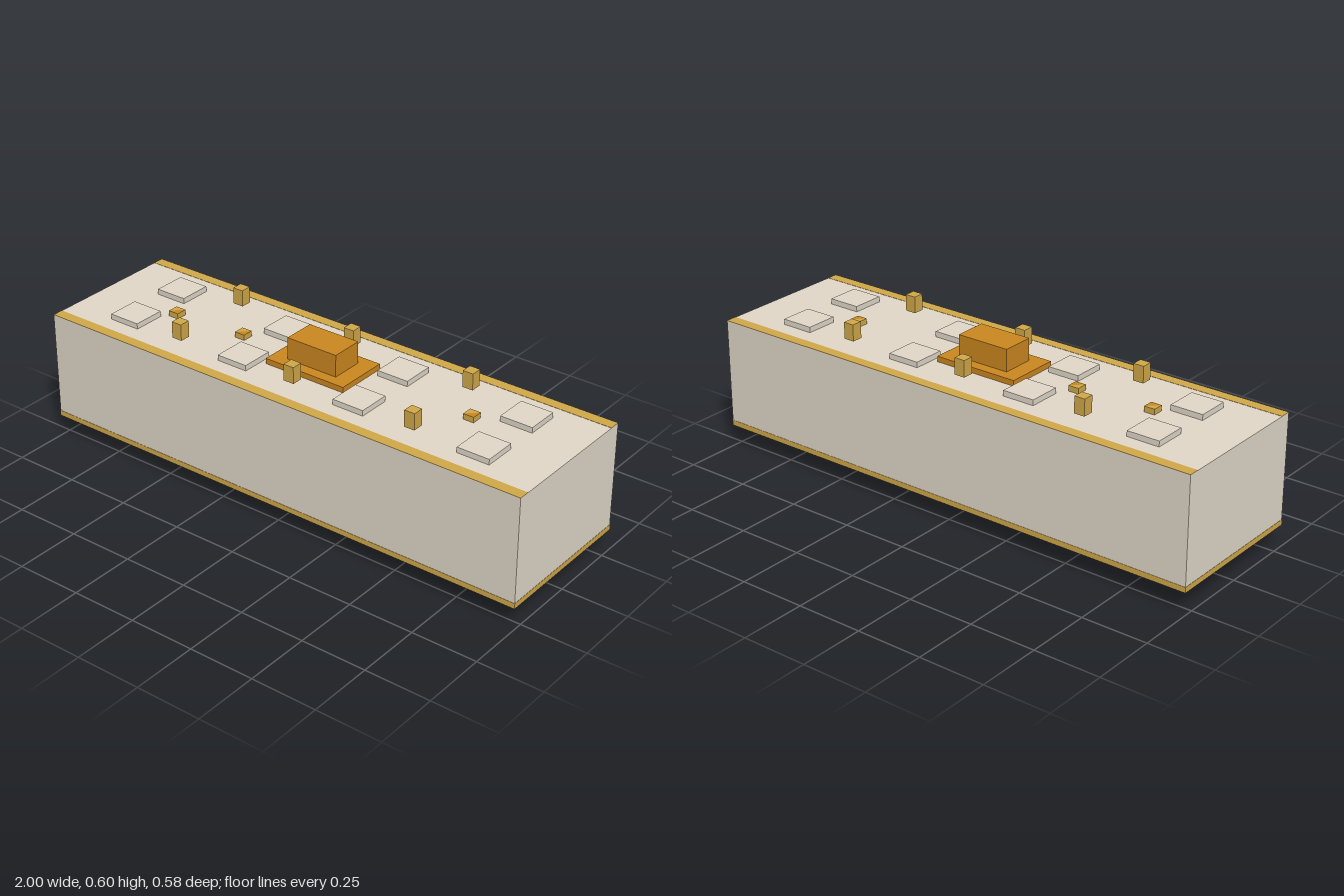
import * as THREE from 'three';

const mat = (name, color) => {
  const m = new THREE.MeshStandardMaterial({ color });
  m.name = name;
  return m;
};

export function createModel() {
  const model = new THREE.Group();
  model.name = 'drapedTable';
  const cloth = mat('cloth', 0xe3dacb);
  const gold = mat('gold', 0xd3aa4a);
  const amber = mat('amber', 0xcd8820);
  const wood = mat('darkWood', 0x5c3d2b);

  // All sizes are multiples of one small block
  const u = 1 / 48;
  const W = 96 * u, D = 28 * u, T = 2 * u;
  const hem = 4 * u, under = 20 * u, top = 24 * u, dish = 25 * u;
  const skin = 0.001; // thickness of the gold trim

  // Box given by its centre in x and z and its vertical range
  const box = (name, material, w, d, y0, y1, x, z) => {
    const mesh = new THREE.Mesh(new THREE.BoxGeometry(w, y1 - y0, d), material);
    mesh.name = name;
    mesh.position.set(x, (y0 + y1) / 2, z);
    model.add(mesh);
    return mesh;
  };

  // Rectangular ring of wall thickness t, extruded upward
  const ring = (name, material, w, d, t, y0, y1) => {
    const rect = (path, a, b) => path.moveTo(-a / 2, -b / 2).lineTo(a / 2, -b / 2)
      .lineTo(a / 2, b / 2).lineTo(-a / 2, b / 2).lineTo(-a / 2, -b / 2);
    const shape = rect(new THREE.Shape(), w, d);
    shape.holes.push(rect(new THREE.Path(), w - 2 * t, d - 2 * t));
    const geo = new THREE.ExtrudeGeometry(shape, { depth: y1 - y0, bevelEnabled: false });
    geo.rotateX(-Math.PI / 2);
    const mesh = new THREE.Mesh(geo, material);
    mesh.name = name;
    mesh.position.y = y0;
    model.add(mesh);
  };

  // Hanging cloth, its gold hem and the slab
  const clothW = W - 2 * skin, clothD = D - 2 * skin;
  ring('drape', cloth, clothW, clothD, T, hem, under);
  ring('hem', gold, W, D, skin, hem, 5 * u);
  box('tableTop', cloth, clothW, clothD, under, top, 0, 0);

  for (const sz of [-1, 1]) {
    // Gold runners along the long edges
    box('edgeStripe', gold, clothW, T, top, top + skin, 0, sz * (clothD - T) / 2);
    // Legs
    for (const sx of [-1, 1]) box('leg', wood, 4 * u, 4 * u, 0, under, sx * 40 * u, sz * 6 * u);
    // Place settings
    for (const x of [-36, -12, 12, 36]) box('plate', cloth, 6 * u, 6 * u, top, dish, x * u, sz * 6 * u);
    // Goblets
    for (const x of [-24, 0, 24]) box('goblet', gold, 2 * u, 2 * u, dish, 28 * u, x * u, sz * 8 * u);
  }

  // Centrepiece
  box('platter', amber, 16 * u, 10 * u, top, dish, 0, 0);
  box('roast', amber, 10 * u, 6 * u, dish, 29 * u, 0, 0);

  // Small scattered pieces, their tops half gold and half amber
  for (const [x, z] of [[-31, 1], [-17, 0], [29, -1]]) {
    const { geometry } = box('morsel', [gold, amber], 2 * u, 2 * u, top, dish, x * u, z * u);
    geometry.clearGroups();
    geometry.addGroup(0, 15, 0);
    geometry.addGroup(15, 3, 1);
    geometry.addGroup(18, 18, 0);
  }
  return model;
}
